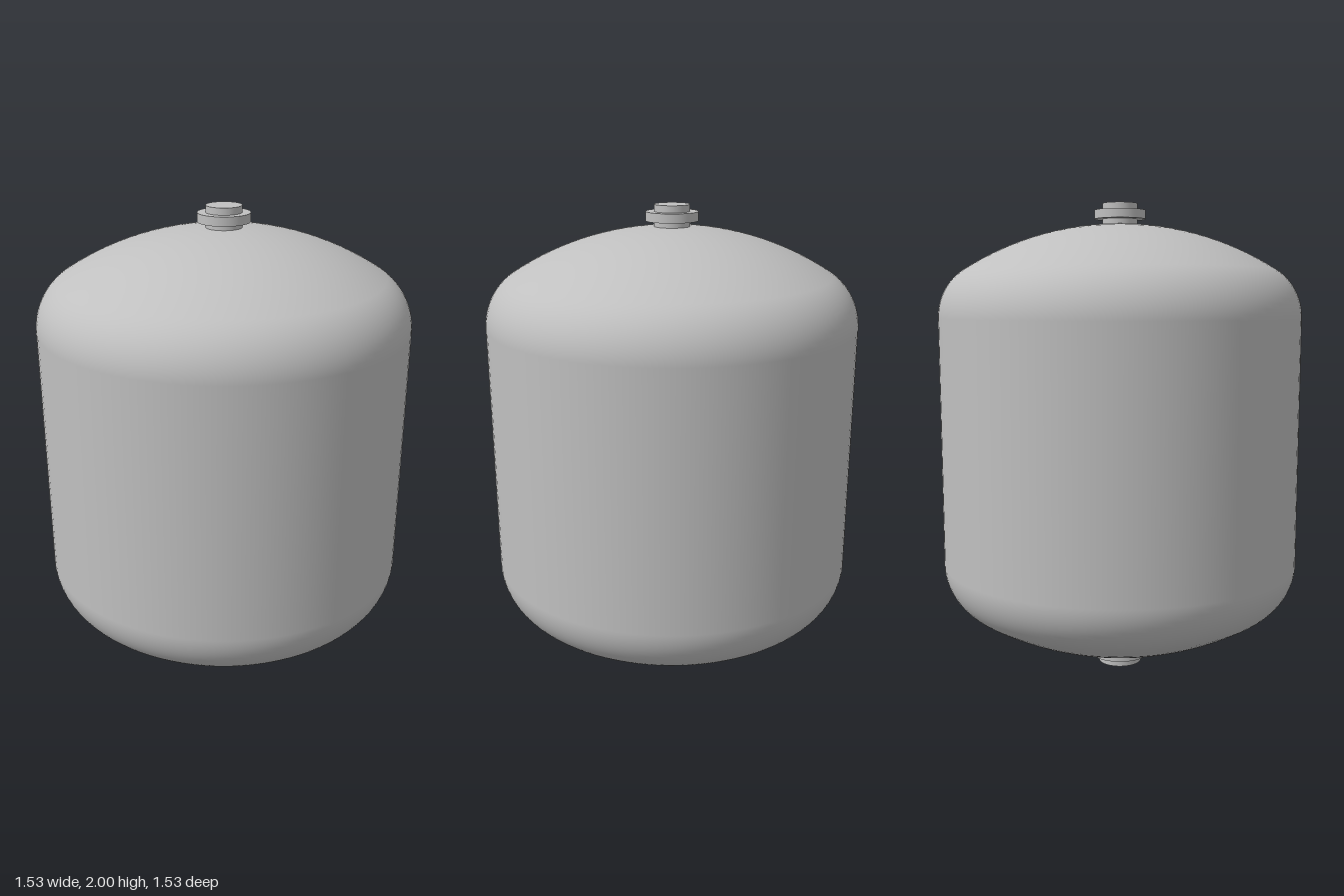
import * as THREE from 'three';

const SEGMENTS = 96;

export function createModel() {
  const steel = new THREE.MeshStandardMaterial({ color: 0xc0c0c0 });
  steel.name = 'grey steel';
  const model = new THREE.Group();
  model.name = 'pressureTank';

  // Dished head: large crown arc blended into the wall by a small knuckle arc
  const radius = 0.765, crown = 1.224, knuckle = 0.236;
  const angle = Math.asin((radius - knuckle) / (crown - knuckle));
  const rise = crown - (crown - knuckle) * Math.cos(angle);
  const head = []; // from the wall to the axis, [radius, height]
  for (let i = 0; i <= 12; i++) {
    const a = (i / 12) * (Math.PI / 2 - angle);
    head.push([radius - knuckle + knuckle * Math.cos(a), knuckle * Math.sin(a)]);
  }
  for (let i = 1; i <= 16; i++) {
    const a = angle * (1 - i / 16);
    head.push([crown * Math.sin(a), rise - crown + crown * Math.cos(a)]);
  }

  // Tank shell: lower head, straight wall, upper head
  const bottom = 0.09, top = 1.915;
  const profile = [
    ...[...head].reverse().map(([r, h]) => new THREE.Vector2(r, bottom + rise - h)),
    ...head.map(([r, h]) => new THREE.Vector2(r, top - rise + h)),
  ];
  const shell = new THREE.Mesh(new THREE.LatheGeometry(profile, SEGMENTS), steel);
  shell.name = 'tankShell';
  model.add(shell);

  // Pipe fittings: a short closed neck with a flange around it
  const disc = (name, r, y0, y1) => {
    const mesh = new THREE.Mesh(new THREE.CylinderGeometry(r, r, y1 - y0, 64), steel);
    mesh.name = name;
    mesh.position.y = (y0 + y1) / 2;
    model.add(mesh);
  };
  disc('topNeck', 0.073, 1.9, 2);
  disc('topFlange', 0.107, 1.935, 1.972);
  disc('bottomNeck', 0.093, 0, 0.105);
  disc('bottomFlange', 0.13, 0.035, 0.072);

  return model;
}
